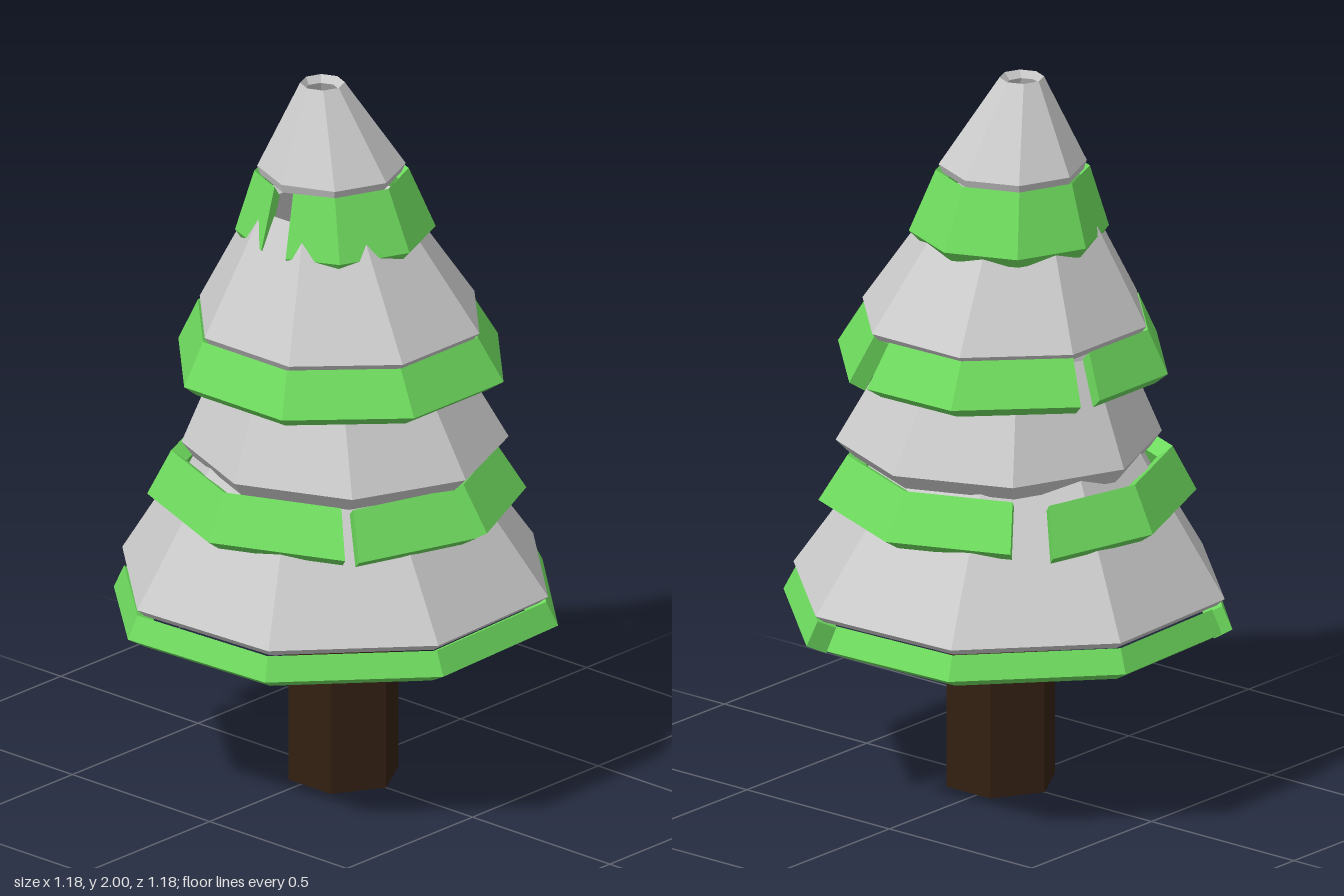
import * as THREE from 'three';

const snowMat = new THREE.MeshStandardMaterial({ color: 0xcccccc, flatShading: true, side: THREE.DoubleSide });
const leafMat = new THREE.MeshStandardMaterial({ color: 0x6edb5e, flatShading: true, side: THREE.DoubleSide });
const barkMat = new THREE.MeshStandardMaterial({ color: 0x332012, flatShading: true });

const TIP = { x: -0.045, z: -0.02 }; // the crown leans towards this axis
const STEP = 45;                     // degrees per octagon side
const rad = THREE.MathUtils.degToRad;

// Point on the outline of an octagon; angle 0 is the front, 90 is +x
function octagonPoint({ x, z, r, phase }, angle, flare = 1, drop = 0) {
  const offset = THREE.MathUtils.euclideanModulo(angle - phase, STEP) - STEP / 2;
  const d = flare * r * Math.cos(rad(STEP / 2)) / Math.cos(rad(offset));
  return { x: x + d * Math.sin(rad(angle)), z: z + d * Math.cos(rad(angle)), drop };
}

// Stretch of an octagon between two angles, its first corner flared out and dropped
function octagonArc(octagon, from, to, flare, drop) {
  const points = [octagonPoint(octagon, from, flare, drop)];
  const first = octagon.phase + STEP * (Math.floor((from - octagon.phase) / STEP) + 1);
  for (let a = first; a < to; a += STEP) points.push(octagonPoint(octagon, a));
  points.push(octagonPoint(octagon, to));
  return points;
}

// Sweep a cross-section of [scale, y] pairs along an outline, scaling towards the tip axis
function loft(outline, section, closed) {
  const n = outline.length, m = section.length, pos = [], idx = [];
  for (const p of outline) {
    for (const [k, y] of section) {
      pos.push(TIP.x + (p.x - TIP.x) * k, y - p.drop, TIP.z + (p.z - TIP.z) * k);
    }
  }
  for (let i = 0; i < (closed ? n : n - 1); i++) {
    const a = i * m, b = ((i + 1) % n) * m;
    for (let j = 0; j < m; j++) {
      const j2 = (j + 1) % m;
      idx.push(a + j, b + j, b + j2, a + j, b + j2, a + j2);
    }
  }
  if (!closed) {
    const e = (n - 1) * m;
    for (let j = 1; j < m - 1; j++) idx.push(0, j, j + 1, e, e + j + 1, e + j);
  }
  const geometry = new THREE.BufferGeometry();
  geometry.setAttribute('position', new THREE.Float32BufferAttribute(pos, 3));
  geometry.setIndex(idx);
  geometry.computeVertexNormals();
  return geometry;
}

// Hollow snow cone with a thin lip folded under its rim
function snowCone(s) {
  const outline = [];
  for (let i = 0; i < 8; i++) outline.push(octagonPoint(s, s.phase + i * STEP));
  return loft(outline, [
    [1 - 2 * s.lip, s.y - s.lip], [1, s.y], [s.k, s.top], [s.k - 0.07, s.top - 0.02], [0.9 - s.lip, s.y - s.lip - 0.005],
  ], true);
}

// One piece of a sloping leaf band
function leafBand(b, [from, to, flare = 1, drop = 0]) {
  return loft(octagonArc(b, from, to, flare, drop), [
    [1, b.y], [b.k, b.y + b.h], [b.k - 0.09, b.y + b.h - 0.03], [0.91, b.y - 0.03],
  ], false);
}

// Tiers from the top down; pieces are [from, to, flare, drop] in degrees
const tiers = [
  {
    snow: { x: -0.015, z: 0, r: 0.2, phase: 0, y: 1.76, top: 2, k: 0.3, lip: 0.025 },
    band: { x: -0.005, z: 0.005, r: 0.27, phase: 0, y: 1.575, h: 0.17, k: 0.77 },
    pieces: [[-78, 262, 1.04]],
  },
  {
    snow: { x: -0.01, z: 0.025, r: 0.4, phase: 22.5, y: 1.33, top: 1.66, k: 0.5, lip: 0.02 },
    band: { x: -0.01, z: 0.03, r: 0.465, phase: 22.5, y: 1.2, h: 0.12, k: 0.86 },
    pieces: [[76, 157, 1.02], [166, 427]],
  },
  {
    snow: { x: -0.01, z: 0.045, r: 0.44, phase: 0, y: 0.975, top: 1.26, k: 0.68, lip: 0.045 },
    band: { x: -0.005, z: 0.01, r: 0.51, phase: 0, y: 0.815, h: 0.125, k: 0.86 },
    pieces: [[5, 131, 1.03], [143, 315, 1.12], [319, 360, 1.06]],
  },
  {
    snow: { x: 0, z: 0, r: 0.6, phase: 25, y: 0.575, top: 0.96, k: 0.58, lip: 0.02 },
    band: { x: 0, z: 0, r: 0.628, phase: 25, y: 0.495, h: 0.065, k: 0.95 },
    pieces: [[76, 200], [209, 430, 1, 0.02]],
  },
];

// Hexagonal trunk, straight below and narrowing towards the tip
function trunkGeometry() {
  const geometry = new THREE.CylinderGeometry(0.022, 0.155, 1.95, 6, 2);
  geometry.translate(0, 0.975, 0);
  const p = geometry.attributes.position;
  for (let i = 0; i < p.count; i++) {
    const y = p.getY(i), isMiddle = y > 0.5 && y < 1.5;
    const lean = y > 1.5 ? 1 : 0;
    const widen = isMiddle ? 0.155 / 0.0885 : 1;
    p.setXYZ(i, p.getX(i) * widen + lean * TIP.x, isMiddle ? 0.34 : y,
      p.getZ(i) * widen + THREE.MathUtils.lerp(0.03, TIP.z, lean));
  }
  geometry.computeVertexNormals();
  return geometry;
}

export function createModel() {
  const tree = new THREE.Group();
  tree.name = 'snowyTree';
  const add = (name, geometry, material) => {
    const mesh = new THREE.Mesh(geometry, material);
    mesh.name = name;
    tree.add(mesh);
  };

  add('trunk', trunkGeometry(), barkMat);
  tiers.forEach(({ snow, band, pieces }, i) => {
    add(`snowTier${i + 1}`, snowCone(snow), snowMat);
    pieces.forEach((piece, j) => add(`leafBand${i + 1}Piece${j + 1}`, leafBand(band, piece), leafMat));
  });
  return tree;
}
